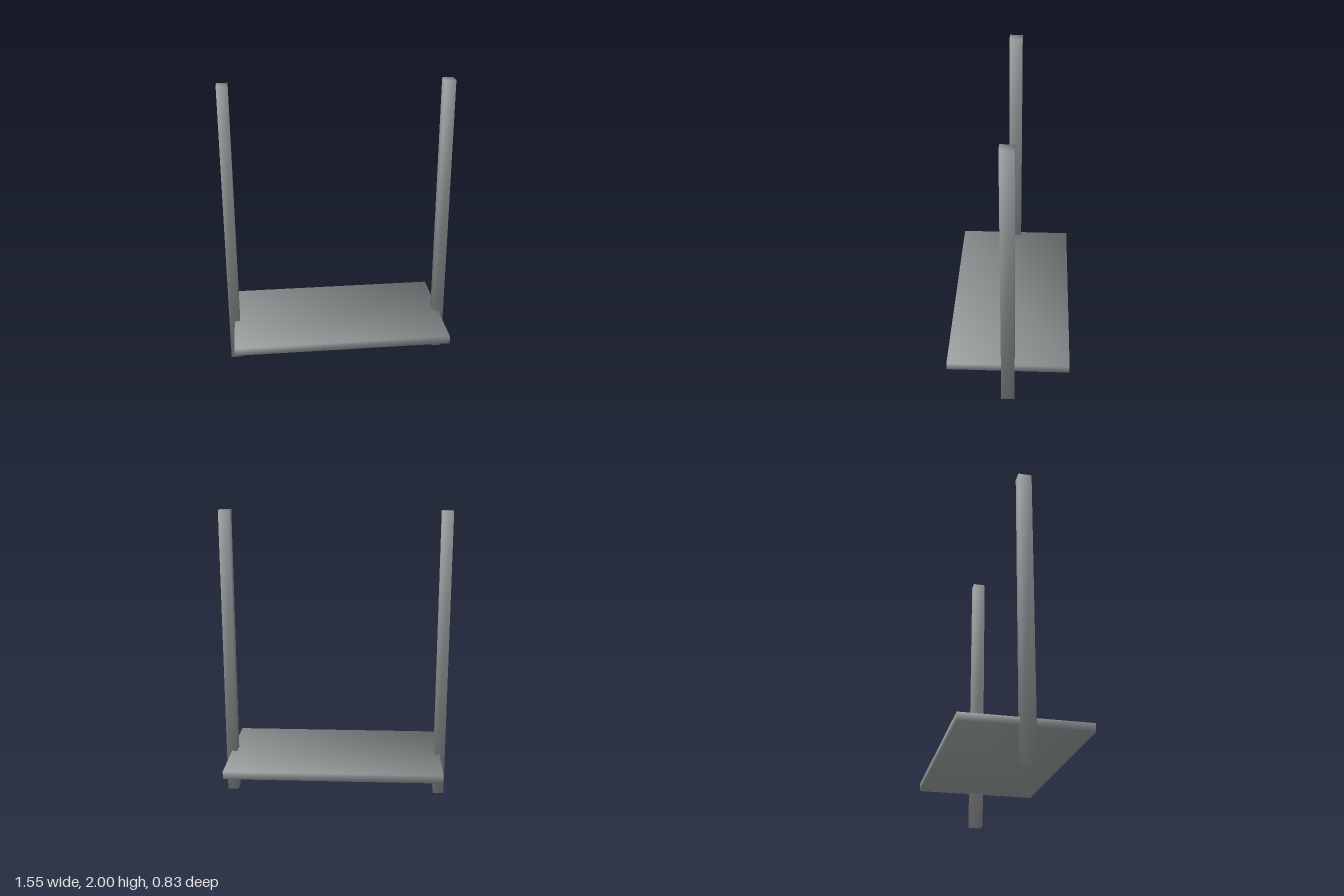
import * as THREE from 'three';

const material = new THREE.MeshStandardMaterial({ color: 0x9a9f9f });

// Box with smooth shading: every corner's normal points out along its diagonal
function smoothBox(name, width, height, depth, x, y, z) {
  const geometry = new THREE.BoxGeometry(width, height, depth);
  const { position, normal } = geometry.attributes;
  const corner = new THREE.Vector3();
  for (let i = 0; i < position.count; i++) {
    corner.fromBufferAttribute(position, i);
    corner.set(Math.sign(corner.x), Math.sign(corner.y), Math.sign(corner.z)).normalize();
    normal.setXYZ(i, corner.x, corner.y, corner.z);
  }
  const mesh = new THREE.Mesh(geometry, material);
  mesh.name = name;
  mesh.position.set(x, y, z);
  return mesh;
}

export function createModel() {
  const group = new THREE.Group();
  group.name = 'shelfBetweenPosts';

  // Two upright posts, standing on the ground
  for (const [name, side] of [['leftPost', 1], ['rightPost', -1]]) {
    group.add(smoothBox(name, 0.074, 2, 0.09, side * 0.74, 1, 0));
  }

  // Flat shelf board, its ends set into the middle of the posts
  group.add(smoothBox('shelfBoard', 1.48, 0.055, 0.83, 0, 0.268, 0));

  return group;
}
